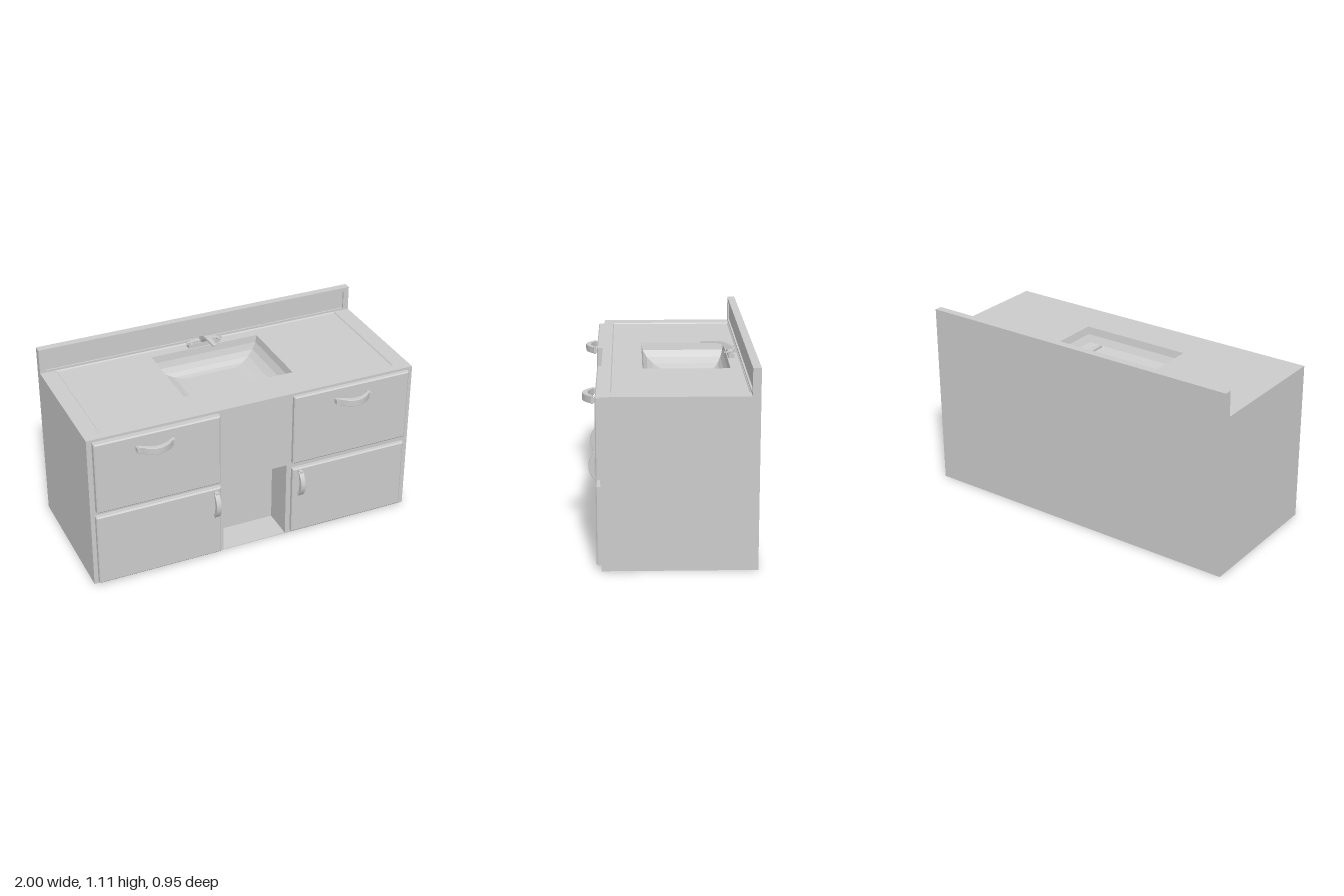
import * as THREE from 'three';

const mat = new THREE.MeshStandardMaterial({ color: 0xcccccc, side: THREE.DoubleSide });

function add(parent, name, geo, x = 0, y = 0, z = 0) {
  const m = new THREE.Mesh(geo, mat);
  m.name = name;
  m.position.set(x, y, z);
  parent.add(m);
  return m;
}

const corners = ([x0, x1, y0, y1]) => [[x0, y0], [x1, y0], [x1, y1], [x0, y1]];

// Flat sheet facing +z with rectangular holes, each [x0, x1, y0, y1]
function sheet(rect, holes = []) {
  const toPoints = r => corners(r).map(p => new THREE.Vector2(...p));
  const shape = new THREE.Shape(toPoints(rect));
  holes.forEach(h => shape.holes.push(new THREE.Path(toPoints(h).reverse())));
  return new THREE.ShapeGeometry(shape);
}

// Walls joining rectangles [x0, x1, y0, y1, z], with the last one closed
function loft(rects) {
  const pos = [];
  const rings = rects.map(r => corners(r).map(p => [...p, r[4]]));
  const quad = (a, b, c, d) => pos.push(...a, ...b, ...c, ...a, ...c, ...d);
  for (let i = 0; i < rings.length - 1; i++) {
    for (let k = 0; k < 4; k++) {
      const n = (k + 1) % 4;
      quad(rings[i][k], rings[i][n], rings[i + 1][n], rings[i + 1][k]);
    }
  }
  quad(...rings[rings.length - 1]);
  const g = new THREE.BufferGeometry();
  g.setAttribute('position', new THREE.Float32BufferAttribute(pos, 3));
  g.computeVertexNormals();
  return g;
}

const inset = ([x0, x1, y0, y1], d) => [x0 + d, x1 - d, y0 + d, y1 - d];

// Arched pull along x, bulging to +z, with two mounting feet
function pull(name, half, depth, width) {
  const g = new THREE.Group();
  g.name = name;
  const s = new THREE.Shape();
  s.moveTo(-half, 0.018);
  s.lineTo(-half * 0.82, 0.03);
  s.quadraticCurveTo(0, depth * 2 - 0.03, half * 0.82, 0.03);
  s.lineTo(half, 0.018);
  s.lineTo(half * 0.78, 0.012);
  s.quadraticCurveTo(0, depth * 2 - 0.075, -half * 0.78, 0.012);
  s.closePath();
  const arch = new THREE.ExtrudeGeometry(s, {
    depth: width - 0.008, bevelThickness: 0.004, bevelSize: 0.003, bevelOffset: -0.003,
    bevelSegments: 2, curveSegments: 14
  });
  arch.translate(0, 0, -(width - 0.008) / 2).rotateX(Math.PI / 2).scale(1, -1, 1);
  // the mirror reverses the faces, so turn them back
  const p = arch.attributes.position;
  for (let i = 0; i < p.count; i += 3) {
    const a = new THREE.Vector3().fromBufferAttribute(p, i + 1);
    const b = new THREE.Vector3().fromBufferAttribute(p, i + 2);
    p.setXYZ(i + 1, b.x, b.y, b.z);
    p.setXYZ(i + 2, a.x, a.y, a.z);
  }
  arch.computeVertexNormals();
  add(g, 'grip', arch);
  for (const side of [-1, 1]) {
    add(g, 'foot', new THREE.BoxGeometry(half * 0.2, width * 0.7, 0.026), side * half * 0.9, 0, 0.013);
  }
  return g;
}

export function createModel() {
  const model = new THREE.Group();
  model.name = 'vanityCabinet';
  const H = 0.96, TOP = 1.11, BACK = -0.475, SPLASH = -0.43, FRONT = 0.365;

  // Open-bottomed carcass
  const body = new THREE.Group();
  body.name = 'carcass';
  model.add(body);
  const profile = new THREE.Shape([[BACK, 0], [FRONT, 0], [FRONT, H], [SPLASH, H], [SPLASH, TOP], [BACK, TOP]]
    .map(p => new THREE.Vector2(...p)));
  for (const side of [-1, 1]) {
    const g = new THREE.ShapeGeometry(profile).scale(-1, 1, 1).rotateY(Math.PI / 2);
    add(body, 'sidePanel', g, side);
  }
  add(body, 'backPanel', new THREE.PlaneGeometry(2, TOP).rotateY(Math.PI), 0, TOP / 2, BACK);

  // Drawer and door fronts: rectangle, thickness
  const fronts = [
    ['rightDrawer', [-0.97, -0.23, 0.5, 0.945], 0.036],
    ['leftDrawer', [0.23, 0.967, 0.5, 0.945], 0.026],
    ['rightDoor', [-0.975, -0.225, 0.016, 0.468], 0.03],
    ['leftDoor', [0.23, 0.962, 0.02, 0.462], 0.026]
  ];
  const alcove = [-0.2, 0.2, 0.004, 0.485];
  add(body, 'faceFrame', sheet([-1, 1, 0, H], [alcove, ...fronts.map(f => inset(f[1], 0.008))]), 0, 0, FRONT);
  add(body, 'kneeAlcove', loft([[...alcove, 0], [...alcove, -0.19]]), 0, 0, FRONT);
  for (const [name, r, t] of fronts) {
    add(model, name, loft([[...r, 0], [...r, t - 0.006], [...inset(r, 0.007), t]]), 0, 0, FRONT);
  }

  // Handles
  for (const [x, t] of [[-0.62, 0.036], [0.597, 0.026]]) {
    const h = pull('drawerHandle', 0.113, 0.076, 0.042);
    h.position.set(x, 0.867, FRONT + t);
    model.add(h);
  }
  for (const [x, t] of [[-0.26, 0.03], [0.275, 0.026]]) {
    const h = pull('doorHandle', 0.085, 0.056, 0.03);
    h.rotation.z = Math.PI / 2;
    h.position.set(x, 0.365, FRONT + t);
    model.add(h);
  }

  // Countertop with a shallow recess and the basin (local y is -z, local z is up)
  const counter = new THREE.Group();
  counter.name = 'countertop';
  counter.rotation.x = -Math.PI / 2;
  counter.position.y = H;
  model.add(counter);
  const field = [-0.905, 0.905, -0.31, 0.428], low = inset(field, 0.005), dip = -0.007;
  const bowl = [-0.34, 0.34, -0.135, 0.36];
  add(counter, 'counterRim', sheet([-1, 1, -FRONT, -SPLASH], [field]));
  const lip = loft([[...field, 0], [...low, dip]]);
  lip.setAttribute('position', new THREE.BufferAttribute(lip.attributes.position.array.slice(0, 72), 3));
  lip.setAttribute('normal', new THREE.BufferAttribute(lip.attributes.normal.array.slice(0, 72), 3));
  add(counter, 'recessEdge', lip);
  add(counter, 'counterField', sheet(low, [bowl]), 0, 0, dip);
  const rings = [];
  for (let i = 0; i <= 5; i++) {
    const a = i / 5 * Math.PI / 2, f = 1 - Math.cos(a);
    rings.push([-0.34 + 0.17 * f, 0.34 - 0.17 * f, -0.135 + 0.17 * f, 0.36 - 0.085 * f, dip - 0.14 * Math.sin(a)]);
  }
  add(counter, 'basin', loft(rings));

  // Backsplash with a recessed panel
  const panel = [-0.965, 0.965, 0.972, 1.088];
  add(model, 'backsplashFrame', sheet([-1, 1, H, TOP], [panel]), 0, 0, SPLASH);
  add(model, 'backsplashPanel', loft([[...panel, 0], [...panel, -0.01]]), 0, 0, SPLASH);
  add(model, 'backsplashTop', new THREE.PlaneGeometry(2, SPLASH - BACK).rotateX(-Math.PI / 2), 0, TOP, (SPLASH + BACK) / 2);

  // Faucet: base, curved deck plate, spout and lever handles
  const faucet = new THREE.Group();
  faucet.name = 'faucet';
  model.add(faucet);
  add(faucet, 'base', new THREE.BoxGeometry(0.2, 0.026, 0.036), 0, H + 0.008, -0.382);
  const deck = new THREE.Shape();
  deck.moveTo(-0.115, 0.362);
  deck.quadraticCurveTo(-0.06, 0.405, 0, 0.408);
  deck.quadraticCurveTo(0.06, 0.405, 0.115, 0.362);
  deck.quadraticCurveTo(0, 0.378, -0.115, 0.362);
  add(faucet, 'deckPlate', new THREE.ExtrudeGeometry(deck, { depth: 0.012, bevelEnabled: false }).rotateX(-Math.PI / 2), 0, 0.981, 0);
  for (const side of [-1, 1]) {
    const lever = add(faucet, 'lever', new THREE.BoxGeometry(0.009, 0.008, 0.075), side * 0.08, 0.988, -0.372);
    lever.rotation.y = side * 0.3;
    add(faucet, 'leverPost', new THREE.CylinderGeometry(0.012, 0.014, 0.03, 12), side * 0.08, 0.976, -0.38);
  }
  const spout = new THREE.Shape();
  spout.moveTo(0.405, 0.98);
  spout.quadraticCurveTo(0.385, 1.02, 0.335, 1.036);
  spout.quadraticCurveTo(0.29, 1.043, 0.205, 1.036);
  spout.lineTo(0.205, 1.025);
  spout.quadraticCurveTo(0.29, 1.032, 0.325, 1.02);
  spout.quadraticCurveTo(0.35, 1.01, 0.365, 0.98);
  spout.closePath();
  const sg = new THREE.ExtrudeGeometry(spout, { depth: 0.044, bevelEnabled: false, curveSegments: 8 });
  sg.translate(0, 0, -0.022).rotateY(Math.PI / 2);
  // taper the spout towards its outlet
  const p = sg.attributes.position;
  for (let i = 0; i < p.count; i++) {
    const t = (p.getZ(i) + 0.405) / 0.2;
    p.setX(i, p.getX(i) * (1.05 - 0.6 * t));
  }
  sg.computeVertexNormals();
  add(faucet, 'spout', sg);
  return model;
}
